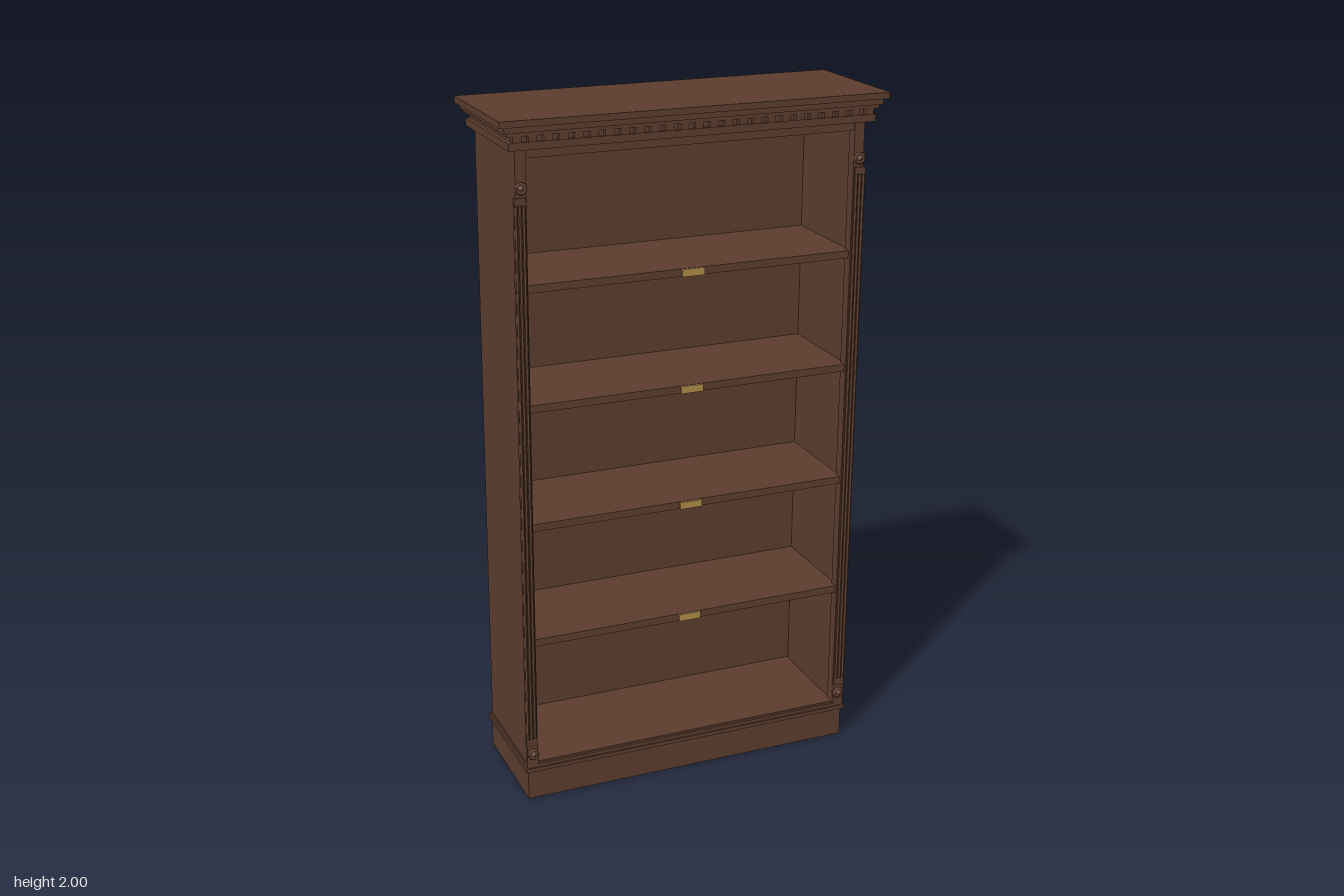
import * as THREE from 'three';

const wood = new THREE.MeshStandardMaterial({ color: 0x5c3d2e });
wood.name = 'brown wood';
const brass = new THREE.MeshStandardMaterial({ color: 0xb08d4a });
brass.name = 'brass';

// The old case leans slightly: its foot sits a little to the right and back.
function lean(geometry) {
  const p = geometry.attributes.position;
  for (let i = 0; i < p.count; i++) {
    const drop = 2 - p.getY(i);
    p.setX(i, p.getX(i) - drop * 0.0055);
    p.setZ(i, p.getZ(i) - drop * 0.004);
  }
  geometry.computeVertexNormals();
  return geometry;
}

function add(group, name, geometry, material = wood) {
  const mesh = new THREE.Mesh(lean(geometry), material);
  mesh.name = name;
  group.add(mesh);
  return mesh;
}

// Box given by its limits on each axis
function box(group, name, [x0, x1], [y0, y1], [z0, z1], material) {
  const g = new THREE.BoxGeometry(x1 - x0, y1 - y0, z1 - z0);
  g.translate((x0 + x1) / 2, (y0 + y1) / 2, (z0 + z1) / 2);
  return add(group, name, g, material);
}

export function createModel() {
  const model = new THREE.Group();
  model.name = 'bookcase';

  // Base with a stepped moulding
  box(model, 'plinth', [-0.508, 0.508], [0, 0.092], [-0.19, 0.161]);
  box(model, 'plinthMoulding', [-0.516, 0.516], [0.09, 0.102], [-0.198, 0.17]);
  box(model, 'plinthMouldingCap', [-0.511, 0.511], [0.102, 0.112], [-0.193, 0.165]);

  // Carcass: floor, back, ceiling
  box(model, 'floor', [-0.482, 0.482], [0.1, 0.117], [-0.18, 0.158]);
  box(model, 'backPanel', [-0.488, 0.488], [0.1, 1.93], [-0.181, -0.165]);
  box(model, 'ceiling', [-0.49, 0.49], [1.892, 1.925], [-0.18, 0.158]);

  for (const s of [-1, 1]) {
    const span = (a, b) => (s > 0 ? [a, b] : [-b, -a]);
    const name = s > 0 ? 'left' : 'right';
    box(model, name + 'Side', span(0.485, 0.508), [0.1, 1.93], [-0.187, 0.16]);

    // Front post and fluted pilaster
    const pilaster = new THREE.Group();
    pilaster.name = name + 'Pilaster';
    model.add(pilaster);
    box(pilaster, 'post', span(0.478, 0.508), [0.11, 1.925], [0.13, 0.162]);
    box(pilaster, 'shaft', span(0.48, 0.513), [0.175, 1.79], [0.155, 0.167]);
    box(pilaster, 'shaftBase', span(0.479, 0.512), [0.112, 0.175], [0.155, 0.168]);
    for (const x of [0.486, 0.497, 0.508]) {
      const reed = new THREE.CylinderGeometry(0.0045, 0.0045, 1.57, 8);
      reed.translate(s * x, 0.985, 0.168);
      add(pilaster, 'reed', reed);
    }

    // Turned rosettes above and below the shaft
    for (const [y, z] of [[1.815, 0.16], [0.15, 0.165]]) {
      const profile = [[0.016, 0], [0.017, 0.008], [0.013, 0.013], [0.011, 0.009], [0.007, 0.011], [0, 0.019]]
        .map(([r, h]) => new THREE.Vector2(r, h));
      const rosette = new THREE.LatheGeometry(profile, 20);
      rosette.rotateX(Math.PI / 2);
      rosette.translate(s * 0.494, y, z);
      const mesh = add(pilaster, 'rosette', rosette);
      mesh.geometry.computeVertexNormals();
    }
  }

  // Shelves with brass label plates
  for (const y of [0.495, 0.85, 1.2, 1.538]) {
    box(model, 'shelf', [-0.486, 0.486], [y - 0.011, y + 0.011], [-0.17, 0.152]);
    box(model, 'labelPlate', [-0.033, 0.033], [y - 0.011, y + 0.01], [0.15, 0.158], brass);
  }

  // Cornice built up in steps towards the top
  const cornice = new THREE.Group();
  cornice.name = 'cornice';
  model.add(cornice);
  const steps = [
    [0.53, 1.918, 1.938, 0.182], [0.518, 1.938, 1.958, 0.172],
    [0.536, 1.956, 1.966, 0.19], [0.545, 1.966, 1.982, 0.195], [0.56, 1.982, 2, 0.203],
  ];
  for (const [w, y0, y1, front] of steps) {
    box(cornice, 'corniceStep', [-w, w], [y0, y1], [-0.2, front]);
  }

  // Row of dentils under the cornice
  const count = 25;
  for (let i = 0; i < count; i++) {
    const x = -0.508 + (1.016 * i) / (count - 1);
    box(cornice, 'dentil', [x - 0.012, x + 0.012], [1.939, 1.957], [0.165, 0.187]);
  }
  return model;
}
